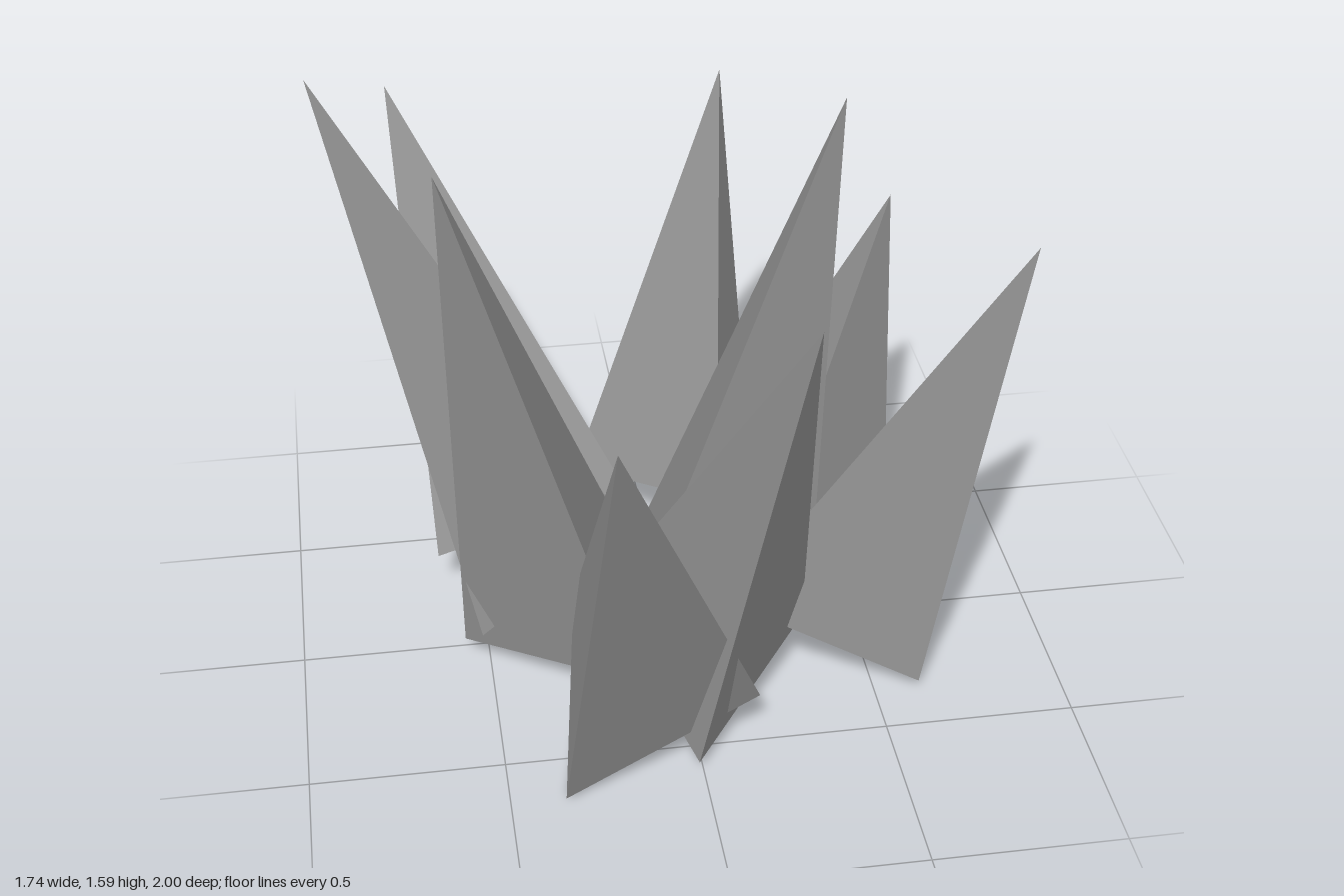
import * as THREE from 'three';

const v = (p) => new THREE.Vector3(...p);

// A hollow three-sided spike: its tip and the two outer corners of its open base.
// The inner corner follows from the base being equilateral and square to the axis.
function makeSpike(tipPoint, cornerA, cornerB, material) {
  const tip = v(tipPoint), a = v(cornerA), b = v(cornerB);
  const side = a.distanceTo(b);
  const radius = side / Math.sqrt(3);
  const edge = (tip.distanceTo(a) + tip.distanceTo(b)) / 2;
  const mid = a.clone().add(b).multiplyScalar(0.5);
  const across = b.clone().sub(a).normalize();

  // Slope direction in the spike's plane of symmetry, and the inward direction
  const up = tip.clone().sub(mid);
  up.addScaledVector(across, -up.dot(across)).normalize();
  const inward = new THREE.Vector3().crossVectors(up, across);
  if (inward.x * mid.x + inward.z * mid.z > 0) inward.negate();

  // Base centre, found from the inradius of the base and the face height
  const inradius = radius / 2;
  const faceHeight = Math.sqrt(edge * edge - side * side / 4);
  const height = Math.sqrt(faceHeight * faceHeight - inradius * inradius);
  const along = inradius * inradius / faceHeight;
  const off = inradius * height / faceHeight;
  const centre = mid.clone().addScaledVector(up, along).addScaledVector(inward, off);

  // Stand a cone on the base with its first corner pointing inward
  const axisY = tip.clone().sub(centre).normalize();
  const axisZ = centre.clone().sub(mid);
  axisZ.addScaledVector(axisY, -axisZ.dot(axisY)).normalize();
  const axisX = new THREE.Vector3().crossVectors(axisY, axisZ);
  const length = tip.distanceTo(centre);

  const geometry = new THREE.ConeGeometry(radius, length, 3, 1, true);
  geometry.translate(0, length / 2, 0);
  const mesh = new THREE.Mesh(geometry, material);
  mesh.quaternion.setFromRotationMatrix(new THREE.Matrix4().makeBasis(axisX, axisY, axisZ));
  mesh.position.copy(centre);
  return mesh;
}

export function createModel() {
  const group = new THREE.Group();
  group.name = 'spikeCluster';
  const material = new THREE.MeshStandardMaterial({
    color: 0x909090, flatShading: true, side: THREE.DoubleSide,
  });

  // name, tip, outer base corners
  const spikes = [
    ['backRightSpike', [-0.66, 1.26, -0.91], [-0.335, 0.0, -0.705], [-0.615, 0.135, -0.245]],
    ['backSpike', [0.295, 1.2, -1.0], [-0.185, 0.11, -0.635], [0.355, 0.01, -0.7]],
    ['backLeftSpike', [0.715, 0.975, -0.6], [0.692, 0.01, -0.372], [0.2, 0.115, -0.6]],
    ['rightSpike', [-0.87, 1.55, -0.37], [-0.52, 0.13, 0.13], [-0.55, 0.045, -0.4]],
    ['centreSpike', [0.475, 1.505, -0.16], [0.39, 0.055, 0.01], [-0.01, 0.14, -0.36]],
    ['leftSpike', [0.873, 1.28, 0.27], [0.5, 0.13, -0.17], [0.62, 0.03, 0.36]],
    ['frontRightSpike', [-0.59, 1.59, 0.27], [-0.56, 0.04, 0.035], [-0.14, 0.12, 0.353]],
    ['frontLeftSpike', [0.23, 1.4, 0.765], [-0.01, 0.03, 0.595], [0.335, 0.13, 0.17]],
    ['frontSpike', [-0.26, 1.28, 1.0], [0.165, 0.13, 0.48], [-0.36, 0.01, 0.655]],
  ];
  for (const [name, tip, a, b] of spikes) {
    const spike = makeSpike(tip, a, b, material);
    spike.name = name;
    group.add(spike);
  }
  return group;
}
